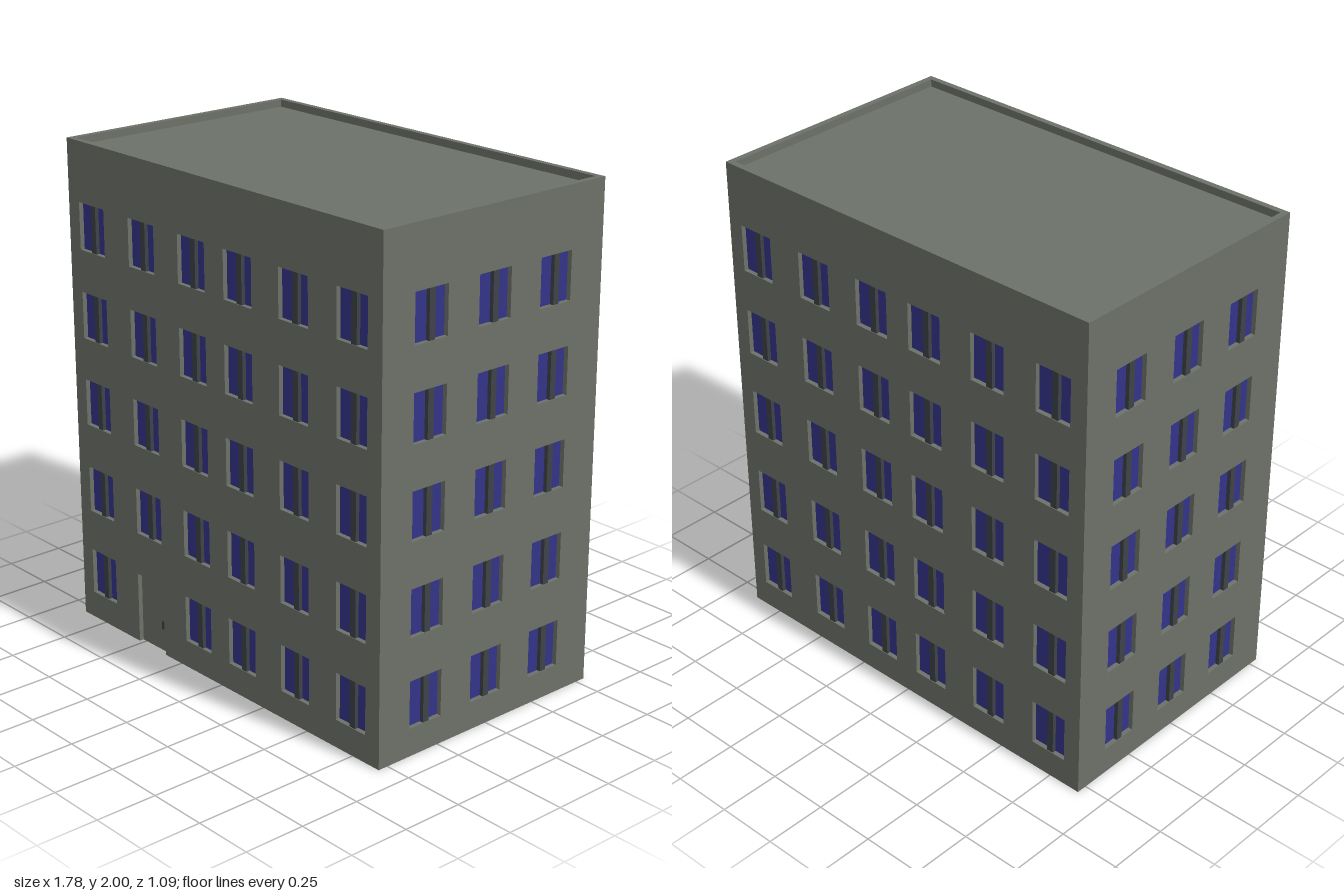
import * as THREE from 'three';

const W = 1.78, D = 1.085, H = 2, T = 0.025, PARAPET = 0.03;
const ROWS = [0.207, 0.568, 0.94, 1.302, 1.663]; // window centre heights
const LONG = [-0.74, -0.43, -0.13, 0.135, 0.44, 0.745];
const SHORT = [-0.308, 0, 0.308];
const WIN = { left: -0.085, right: 0.072, half: 0.095 };
const DOOR = { x0: -0.52, x1: -0.35, top: 0.295 };

export function createModel() {
  const wallMat = new THREE.MeshStandardMaterial({ color: 0x6c7168 });
  const glassMat = new THREE.MeshStandardMaterial({ color: 0x34348a });
  const frameMat = new THREE.MeshStandardMaterial({ color: 0x3e4246 });
  wallMat.name = 'wall grey';
  glassMat.name = 'window blue';
  frameMat.name = 'frame dark grey';

  const model = new THREE.Group();
  model.name = 'apartmentBlock';

  const box = (parent, name, mat, w, h, d, x, y, z) => {
    const mesh = new THREE.Mesh(new THREE.BoxGeometry(w, h, d), mat);
    mesh.name = name;
    mesh.position.set(x, y, z);
    parent.add(mesh);
    return mesh;
  };

  // One facade, outer face at local z = 0, with recessed windows
  function facade(name, width, columns, hasDoor) {
    const group = new THREE.Group();
    group.name = name;
    const h = width / 2;
    const shape = new THREE.Shape();
    shape.moveTo(-h, 0);
    if (hasDoor) {
      shape.lineTo(DOOR.x0, 0);
      shape.lineTo(DOOR.x0, DOOR.top);
      shape.lineTo(DOOR.x1, DOOR.top);
      shape.lineTo(DOOR.x1, 0);
    }
    shape.lineTo(h, 0);
    shape.lineTo(h, H);
    shape.lineTo(-h, H);
    shape.closePath();

    ROWS.forEach((y, r) => columns.forEach((x, c) => {
      if (hasDoor && r === 0 && c === 1) return;
      const x0 = x + WIN.left, x1 = x + WIN.right;
      const y0 = y - WIN.half, y1 = y + WIN.half;
      const hole = new THREE.Path();
      hole.moveTo(x0, y0);
      hole.lineTo(x0, y1);
      hole.lineTo(x1, y1);
      hole.lineTo(x1, y0);
      hole.closePath();
      shape.holes.push(hole);
      box(group, 'windowPane', glassMat, x1 - x0, y1 - y0, 0.006, (x0 + x1) / 2, y, -T + 0.003);
      box(group, 'windowMullion', frameMat, 0.028, y1 - y0, 0.02, x, y, -0.013);
    }));

    const geo = new THREE.ExtrudeGeometry(shape, { depth: T, bevelEnabled: false });
    geo.translate(0, 0, -T);
    const wall = new THREE.Mesh(geo, wallMat);
    wall.name = 'wall';
    group.add(wall);

    if (hasDoor) {
      const w = DOOR.x1 - DOOR.x0;
      box(group, 'door', wallMat, w, DOOR.top, 0.006, (DOOR.x0 + DOOR.x1) / 2, DOOR.top / 2, -T + 0.003);
      box(group, 'doorHandle', frameMat, 0.012, 0.035, 0.016, -0.37, 0.12, -0.012);
    }
    model.add(group);
    return group;
  }

  // Front and back run full width, the sides fit between them
  facade('frontFacade', W, LONG, true).position.z = D / 2;
  const back = facade('backFacade', W, LONG, false);
  back.rotation.y = Math.PI;
  back.position.z = -D / 2;
  for (const s of [1, -1]) {
    const side = facade(s > 0 ? 'leftFacade' : 'rightFacade', D - 2 * T, SHORT, false);
    side.rotation.y = s * Math.PI / 2;
    side.position.x = s * W / 2;
  }

  // Solid body whose top is the flat roof, below the parapet
  box(model, 'bodyAndRoof', wallMat, W - 2 * T, H - PARAPET, D - 2 * T, 0, (H - PARAPET) / 2, 0);

  return model;
}
